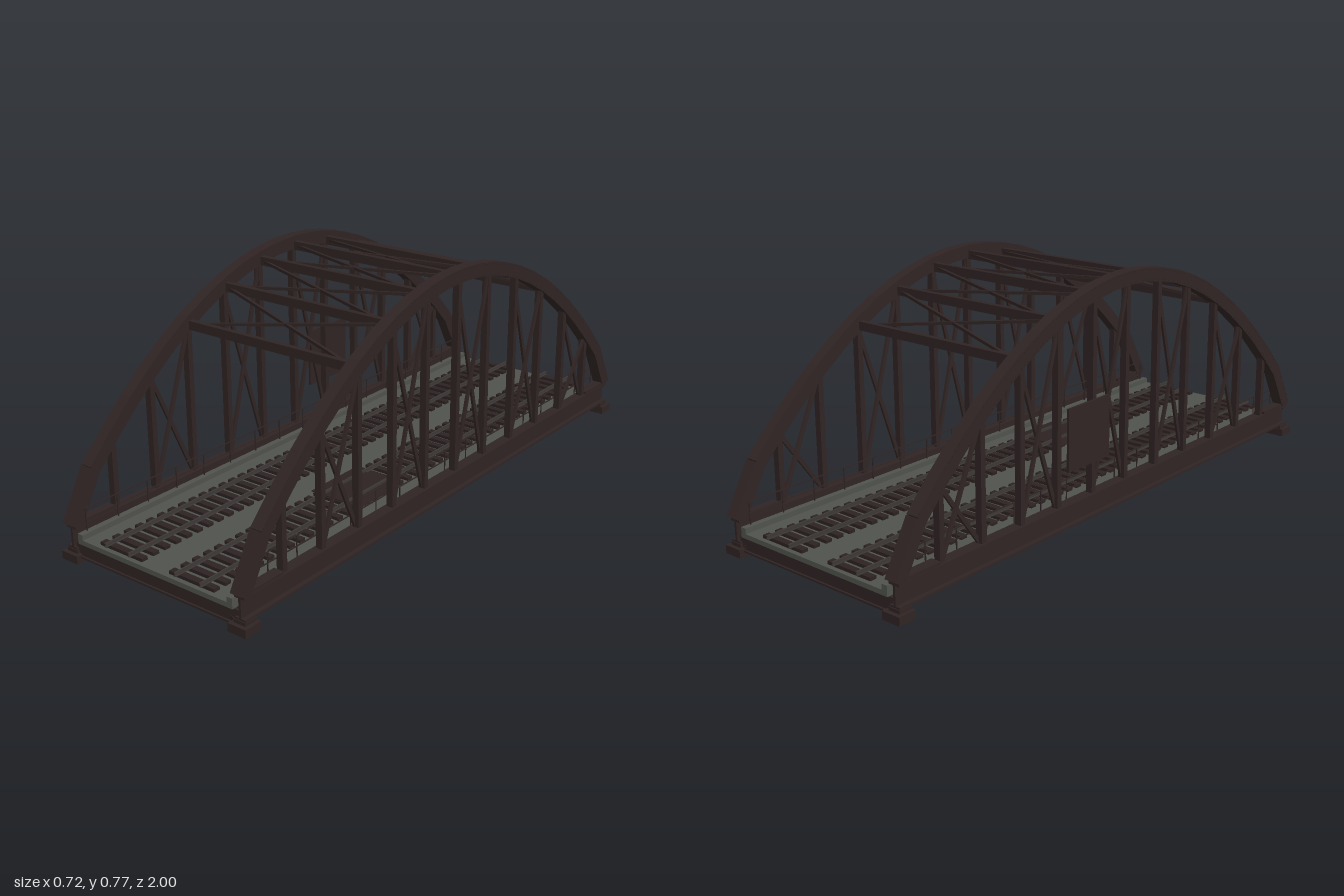
import * as THREE from 'three';
import { mergeGeometries } from 'three/addons/utils/BufferGeometryUtils.js';

const V = (x, y, z) => new THREE.Vector3(x, y, z);
const HALF = 0.98, STEP = HALF / 12, PANEL = HALF / 6, SIDE = 0.326;
const archY = z => (Math.abs(z) > HALF - 0.01 ? 0.109 : 0.745 - 0.604 * z * z);

// box given by centre and size
const box = (x, y, z, w, h, d) => new THREE.BoxGeometry(w, h, d).translate(x, y, z);

// straight member of width w and depth h between two points
function beam(a, b, w, h, extra = 0) {
  const dir = b.clone().sub(a), len = dir.length();
  dir.normalize();
  const ax = V(0, 1, 0).cross(dir);
  if (ax.length() < 1e-3) ax.set(1, 0, 0);
  ax.normalize();
  const ay = dir.clone().cross(ax);
  const m = new THREE.Matrix4().makeBasis(ax, ay, dir).setPosition(a.clone().add(b).multiplyScalar(0.5));
  return new THREE.BoxGeometry(w, h, len + extra).applyMatrix4(m);
}

export function createModel() {
  const model = new THREE.Group();
  model.name = 'archRailwayBridge';
  const mat = (name, color) => {
    const m = new THREE.MeshStandardMaterial({ color });
    m.name = name;
    return m;
  };
  const steel = mat('dark brown steel', 0x2f2423);
  const concrete = mat('grey deck', 0x50524d);
  const timber = mat('dark timber', 0x2c2221);
  const railSteel = mat('rail steel', 0x3c3836);
  const add = (name, geos, m) => {
    const mesh = new THREE.Mesh(mergeGeometries(geos), m);
    mesh.name = name;
    model.add(mesh);
  };

  for (const s of [1, -1]) {
    const side = s > 0 ? 'left' : 'right', x = s * SIDE;

    // arch rib of straight box segments, with rivets on the outer face
    const arch = [], rivets = [];
    for (let i = -12; i < 12; i++) {
      const a = V(x, archY(i * STEP), i * STEP), b = V(x, archY((i + 1) * STEP), (i + 1) * STEP);
      arch.push(beam(a, b, 0.038, 0.043, 0.003));
      const n = b.clone().sub(a).normalize().cross(V(1, 0, 0));
      for (let k = 0; k < 6; k++) {
        for (const e of [-0.016, 0.016]) {
          const p = a.clone().lerp(b, (k + 0.5) / 6).addScaledVector(n, e);
          rivets.push(box(p.x + s * 0.0195, p.y, p.z, 0.002, 0.003, 0.003));
        }
      }
    }
    add(side + 'Arch', arch, steel);
    add(side + 'ArchRivets', rivets, steel);

    // hangers, and crossed diagonals in every second panel
    const hangers = [], diagonals = [];
    for (let i = -5; i <= 5; i++) {
      const z = i * PANEL, top = archY(z);
      hangers.push(box(x, (0.1 + top) / 2, z, 0.022, top - 0.1, 0.018));
    }
    for (let i = -5; i < 5; i += 2) {
      const z0 = i * PANEL, z1 = z0 + PANEL;
      diagonals.push(beam(V(x - 0.005, 0.105, z0), V(x - 0.005, archY(z1) - 0.01, z1), 0.008, 0.013));
      diagonals.push(beam(V(x + 0.005, archY(z0) - 0.01, z0), V(x + 0.005, 0.105, z1), 0.008, 0.013));
    }
    add(side + 'Hangers', hangers, steel);
    add(side + 'Diagonals', diagonals, steel);

    // I-section tie girder
    add(side + 'Girder', [
      box(x, 0.072, 0, 0.008, 0.064, 1.97),
      box(x, 0.039, 0, 0.038, 0.008, 1.97),
      box(x, 0.105, 0, 0.038, 0.008, 1.97),
    ], steel);

    // bearings and arch feet
    const bearings = [];
    for (const e of [1, -1]) {
      bearings.push(box(x, 0.013, e * 0.97, 0.064, 0.026, 0.06));
      bearings.push(box(x, 0.031, e * 0.965, 0.042, 0.012, 0.045));
      bearings.push(box(x, 0.11, e * 0.9, 0.034, 0.016, 0.14));
    }
    add(side + 'Bearings', bearings, steel);

    // kerb and handrail
    add(side + 'Kerb', [box(s * 0.29, 0.083, 0, 0.02, 0.018, 1.97)], concrete);
    const railing = [0.13, 0.163].map(y => box(s * 0.293, y, 0, 0.003, 0.003, 1.92));
    for (let i = -8; i <= 8; i++) railing.push(box(s * 0.293, 0.127, i * 0.1195, 0.003, 0.074, 0.003));
    add(side + 'Railing', railing, steel);

    // track: sleepers and two rails
    const tx = s * 0.137, sleepers = [], rails = [];
    for (let i = -22; i <= 22; i++) sleepers.push(box(tx, 0.08, i * 0.0436, 0.168, 0.01, 0.022));
    for (const e of [-0.047, 0.047]) {
      rails.push(box(tx + e, 0.086, 0, 0.008, 0.002, 1.97));
      rails.push(box(tx + e, 0.091, 0, 0.002, 0.008, 1.97));
      rails.push(box(tx + e, 0.096, 0, 0.005, 0.003, 1.97));
    }
    add(side + 'Sleepers', sleepers, timber);
    add(side + 'Rails', rails, railSteel);
  }

  // deck slab and floor beams below it
  add('deckSlab', [box(0, 0.0675, 0, 0.6, 0.015, 1.97)], concrete);
  const floorBeams = [], floorBracing = [];
  for (let i = -6; i <= 6; i++) {
    const z = i * PANEL * 0.995;
    floorBeams.push(box(0, 0.038, z, 0.63, 0.044, 0.008));
    floorBeams.push(box(0, 0.018, z, 0.63, 0.006, 0.02));
    if (i < 6) {
      const d = i % 2 ? 1 : -1;
      floorBracing.push(beam(V(-0.3 * d, 0.03, z), V(0.3 * d, 0.03, z + PANEL), 0.014, 0.01));
    }
  }
  add('floorBeams', floorBeams, steel);
  add('floorBracing', floorBracing, steel);

  // overhead struts with crossed bracing between them
  const struts = [], bracing = [];
  const strutY = z => archY(z) - 0.011;
  for (let i = -3; i <= 3; i++) {
    const z = i * PANEL, y = strutY(z);
    struts.push(box(0, y, z, 0.62, 0.028, 0.018));
    if (i < 3) {
      const z1 = z + PANEL, y1 = strutY(z1);
      for (const s of [1, -1]) {
        bracing.push(beam(V(-0.31 * s, y, z), V(0.31 * s, y1, z1), 0.009, 0.009));
      }
    }
  }
  add('overheadStruts', struts, steel);
  add('overheadBracing', bracing, steel);

  // plain sign board on the right truss and cover plate between the rails
  add('signBoard', [box(-0.34, 0.308, -0.195, 0.008, 0.195, 0.195)], steel);
  add('coverPlate', [box(0.137, 0.086, 0.25, 0.19, 0.003, 0.21)], timber);
  return model;
}
